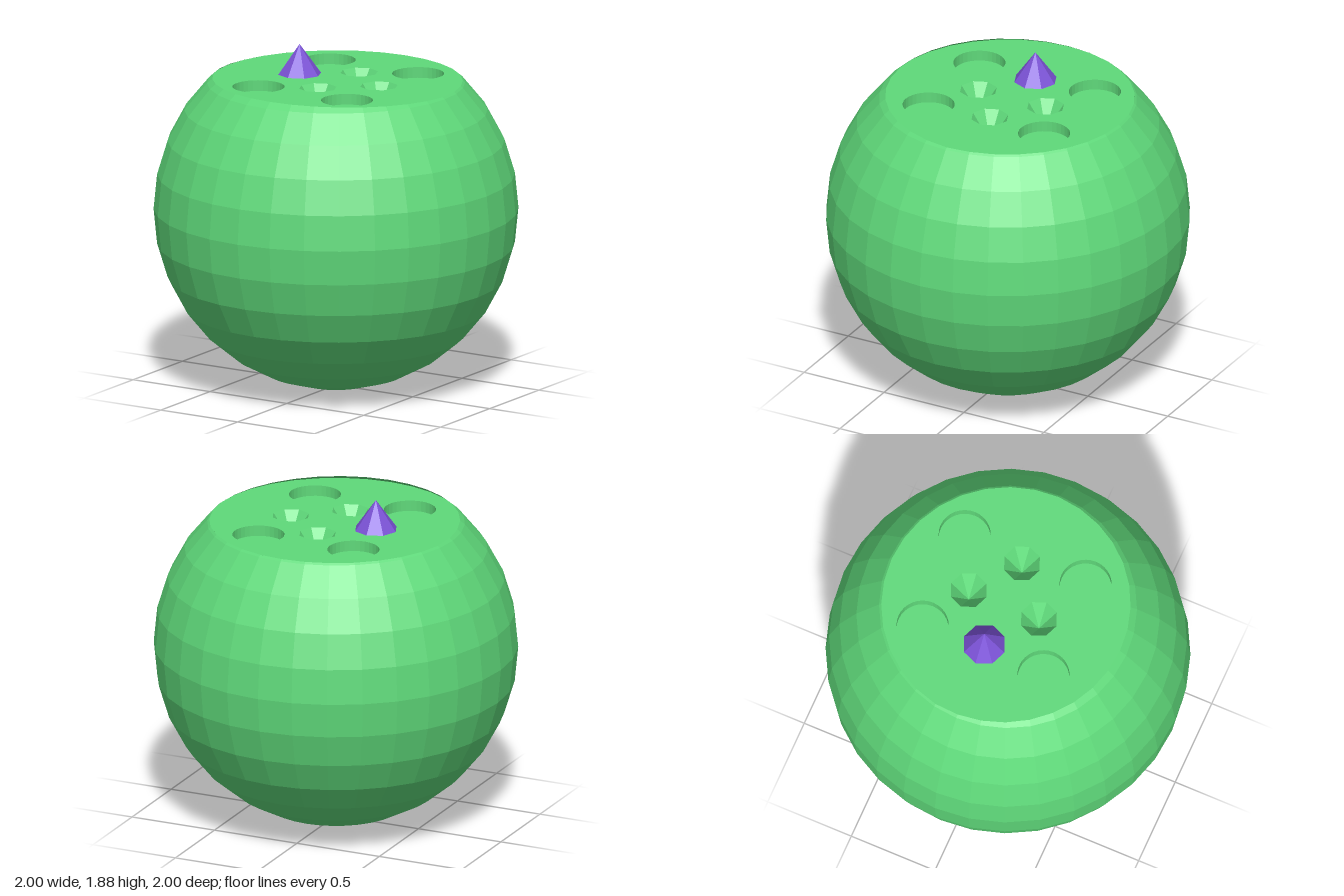
import * as THREE from 'three';

const TOP = 1.717; // height of the flat top plate

export function createModel() {
  const group = new THREE.Group();
  const green = new THREE.MeshStandardMaterial({ color: 0x5fd97a, flatShading: true, side: THREE.DoubleSide });
  const purple = new THREE.MeshStandardMaterial({ color: 0x7b52d6, flatShading: true });

  const add = (name, geometry, material, x = 0, y = 0, z = 0) => {
    const mesh = new THREE.Mesh(geometry, material);
    mesh.name = name;
    mesh.position.set(x, y, z);
    group.add(mesh);
    return mesh;
  };

  // Faceted globe, open at the top, with a rim that rises slightly to the front
  const step = Math.PI / 16;
  const globe = new THREE.SphereGeometry(1, 32, 13, 0, Math.PI * 2, 3 * step, 13 * step);
  const p = globe.attributes.position;
  const low = Math.SQRT1_2, highY = Math.cos(3 * step), highR = Math.sin(3 * step);
  for (let i = 0; i < p.count; i++) {
    if (p.getY(i) < 0.75) continue;
    const a = Math.atan2(p.getZ(i), p.getX(i));
    const y = Math.max(TOP, 1.719 + 0.019 * Math.sin(a) - 0.002 * Math.cos(a)) - 1;
    const r = THREE.MathUtils.mapLinear(y, low, highY, low, highR);
    p.setXYZ(i, r * Math.cos(a), y, r * Math.sin(a));
  }
  globe.computeVertexNormals();
  add('globe', globe, green, 0, 1, 0);

  // Round holes and octagonal pits: position on the plate, radius, sides
  const holes = [];
  for (const x of [-0.288, 0.288]) {
    for (const z of [-0.385, 0.338]) holes.push({ x, z, r: 0.143, n: 32 });
  }
  const pits = [[0, -0.235], [0.26, -0.03], [0, 0.185]].map(([x, z]) => ({ x, z, r: 0.105, n: 8 }));

  // Flat top plate with its openings
  const ring = (x, z, r, n) => Array.from({ length: n }, (_, i) => {
    const a = (i / n) * Math.PI * 2;
    return new THREE.Vector2(x + r * Math.cos(a), -z + r * Math.sin(a));
  });
  const plate = new THREE.Shape(ring(0, 0, 0.695, 32));
  for (const h of [...holes, ...pits]) plate.holes.push(new THREE.Path(ring(h.x, h.z, h.r, h.n)));
  add('topPlate', new THREE.ShapeGeometry(plate).rotateX(-Math.PI / 2), green, 0, TOP, 0);

  // Shallow round recesses
  const depth = 0.06;
  for (const h of holes) {
    add('recessWall', new THREE.CylinderGeometry(h.r, h.r, depth, h.n, 1, true), green, h.x, TOP - depth / 2, h.z);
    add('recessFloor', new THREE.CircleGeometry(h.r, h.n).rotateX(-Math.PI / 2), green, h.x, TOP - depth, h.z);
  }

  // Inverted cone pits
  for (const h of pits) {
    const cone = new THREE.ConeGeometry(h.r, 0.15, h.n, 1, true).rotateX(Math.PI);
    add('conePit', cone, green, h.x, TOP - 0.075, h.z);
  }

  // Spike standing on the plate
  add('spike', new THREE.ConeGeometry(0.12, 0.168, 8), purple, -0.256, TOP + 0.084, -0.03);

  return group;
}
